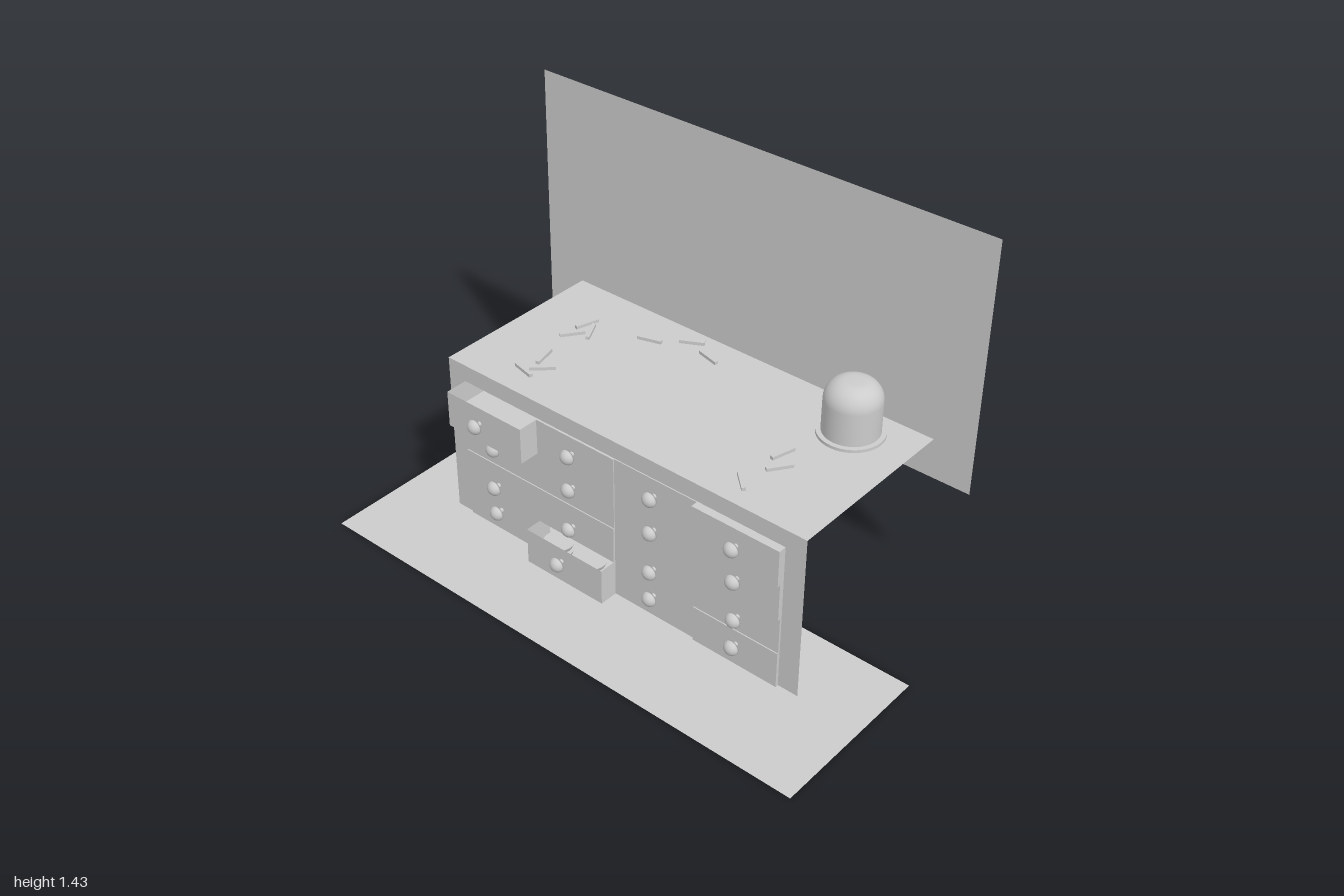
import * as THREE from 'three';

const grey = new THREE.MeshStandardMaterial({ color: 0xcccccc, side: THREE.DoubleSide });

export function createModel() {
  const model = new THREE.Group();

  const add = (parent, name, geometry, x = 0, y = 0, z = 0) => {
    const mesh = new THREE.Mesh(geometry, grey);
    mesh.name = name;
    mesh.position.set(x, y, z);
    parent.add(mesh);
    return mesh;
  };
  // Upright sheet facing +z, and flat sheet facing +y
  const upright = (parent, name, x0, x1, y0, y1, z) =>
    add(parent, name, new THREE.PlaneGeometry(x1 - x0, y1 - y0), (x0 + x1) / 2, (y0 + y1) / 2, z);
  const flat = (parent, name, x0, x1, z0, z1, y) =>
    add(parent, name, new THREE.PlaneGeometry(x1 - x0, z1 - z0).rotateX(-Math.PI / 2),
      (x0 + x1) / 2, y, (z0 + z1) / 2);
  // Sheet in the z-y plane from a short outline
  const sidePanel = (parent, name, outline, x) => {
    const shape = new THREE.Shape(outline.map(([z, y]) => new THREE.Vector2(-z, y)));
    add(parent, name, new THREE.ShapeGeometry(shape).rotateY(Math.PI / 2), x);
  };

  // Floor and wall
  flat(model, 'floor', -1, 1, -0.12, 0.51, 0);
  upright(model, 'wall', -0.9, 0.92, 0.5, 1.43, -0.507);

  // Dresser shell: top sheet, narrow back lip, front frame open at the bottom
  const left = -0.745, right = 0.77, topY = 0.648, frameZ = 0.168;
  flat(model, 'dresserTop', left, right, -0.512, frameZ, topY);
  upright(model, 'topBackLip', left, right, 0.628, topY, -0.512);
  const frame = new THREE.Shape([
    [left, 0.02], [-0.67, 0.02], [-0.67, 0.583], [0.693, 0.583],
    [0.693, 0.02], [right, 0.02], [right, topY], [left, topY],
  ].map(p => new THREE.Vector2(...p)));
  add(model, 'frontFrame', new THREE.ShapeGeometry(frame), 0, 0, frameZ);

  // Knob: mushroom head on a stem that runs through the drawer front
  const knobPoints = [new THREE.Vector2(0, 0.022), new THREE.Vector2(0.028, 0.022)];
  for (let i = 1; i <= 8; i++) {
    const a = (i / 8) * Math.PI / 2;
    knobPoints.push(new THREE.Vector2(0.028 * Math.cos(a), 0.022 + 0.026 * Math.sin(a)));
  }
  const knobGeometry = new THREE.LatheGeometry(knobPoints, 24).rotateX(Math.PI / 2);
  const stemGeometry = new THREE.CylinderGeometry(0.009, 0.009, 0.055, 16).rotateX(Math.PI / 2);

  // Drawers: four columns by four rows, each front set at its own depth
  const columns = [-0.67, -0.33, 0.01, 0.352, 0.693];
  const rows = [0.583, 0.445, 0.302, 0.16, 0.02];
  const knobX = [-0.52, -0.17, 0.18, 0.53];
  const knobY = [0.52, 0.383, 0.22, 0.107];
  const fronts = [
    [0.253, 0.176, 0.172, 0.198],
    [0.176, 0.176, 0.172, 0.186],
    [0.18, 0.18, 0.172, 0.176],
    [0.174, 0.242, 0.172, 0.18],
  ];
  fronts.forEach((line, r) => line.forEach((z, c) => {
    const drawer = new THREE.Group();
    drawer.name = `drawerRow${r + 1}Column${c + 1}`;
    model.add(drawer);
    const [x0, x1, y0, y1] = [columns[c], columns[c + 1], rows[r + 1], rows[r]];
    upright(drawer, 'drawerFront', x0, x1, y0, y1, z);
    add(drawer, 'knob', knobGeometry, knobX[c], knobY[r], z);
    add(drawer, 'knobStem', stemGeometry, knobX[c], knobY[r], z - 0.002);
    if (z > 0.22) {
      // Pulled-out drawers have sides and a bottom
      const upper = r === 0;
      const outline = upper
        ? [[z, y0], [z, y1], [0.045, y1], [0.045, 0.5], [0.175, 0.5], [0.175, y0]]
        : [[z, y0], [z, y1], [0.13, y1], [0.13, y0]];
      for (const x of [x0, x1]) sidePanel(drawer, 'drawerSide', outline, x);
      flat(drawer, 'drawerBottom', x0, x1, upper ? 0.175 : 0.13, z, y0);
      if (upper) flat(drawer, 'drawerInnerBottom', x0, x1, 0.045, 0.175, 0.5);
    } else {
      // Short returned edges on the closed fronts
      for (const x of [x0, x1]) sidePanel(drawer, 'drawerEdge', [[z, y0], [z, y1], [frameZ, y1], [frameZ, y0]], x);
      for (const y of [y0, y1]) flat(drawer, 'drawerEdge', x0, x1, frameZ, z, y);
    }
  }));

  // Two stacks of round discs inside the low open drawer
  const disc = new THREE.CylinderGeometry(0.055, 0.046, 0.02, 32);
  for (const x of [-0.235, -0.085])
    for (let i = 0; i < 4; i++) add(model, 'stackedDisc', disc, x, 0.035 + i * 0.027, 0.185);

  // Domed jar on a round base
  const jar = new THREE.Group();
  jar.name = 'domedJar';
  jar.position.set(0.547, 0, -0.367);
  model.add(jar);
  add(jar, 'jarBase', new THREE.CylinderGeometry(0.115, 0.115, 0.011, 40), 0, 0.654, 0);
  const dome = [new THREE.Vector2(0.098, 0.658), new THREE.Vector2(0.098, 0.7)];
  for (let i = 0; i <= 10; i++) {
    const a = (i / 10) * Math.PI / 2;
    dome.push(new THREE.Vector2(0.028 + 0.07 * Math.cos(a), 0.778 + 0.071 * Math.sin(a)));
  }
  dome.push(new THREE.Vector2(0, 0.85));
  add(jar, 'jarDome', new THREE.LatheGeometry(dome, 40));

  // Small sticks scattered on the top: x, z and turn in degrees
  const sticks = [
    [-0.525, -0.29, 73], [-0.48, -0.26, -63], [-0.52, -0.21, 54],
    [-0.495, -0.04, -76], [-0.45, 0.015, 43], [-0.49, 0.064, -13],
    [-0.292, -0.355, 17], [-0.17, -0.437, 28], [-0.067, -0.4, -14],
    [0.457, -0.125, 75], [0.494, -0.06, 55], [0.446, 0.072, -43],
  ];
  const stick = new THREE.BoxGeometry(0.09, 0.012, 0.014);
  for (const [x, z, turn] of sticks)
    add(model, 'stick', stick, x, 0.656, z).rotation.y = THREE.MathUtils.degToRad(turn);

  return model;
}
